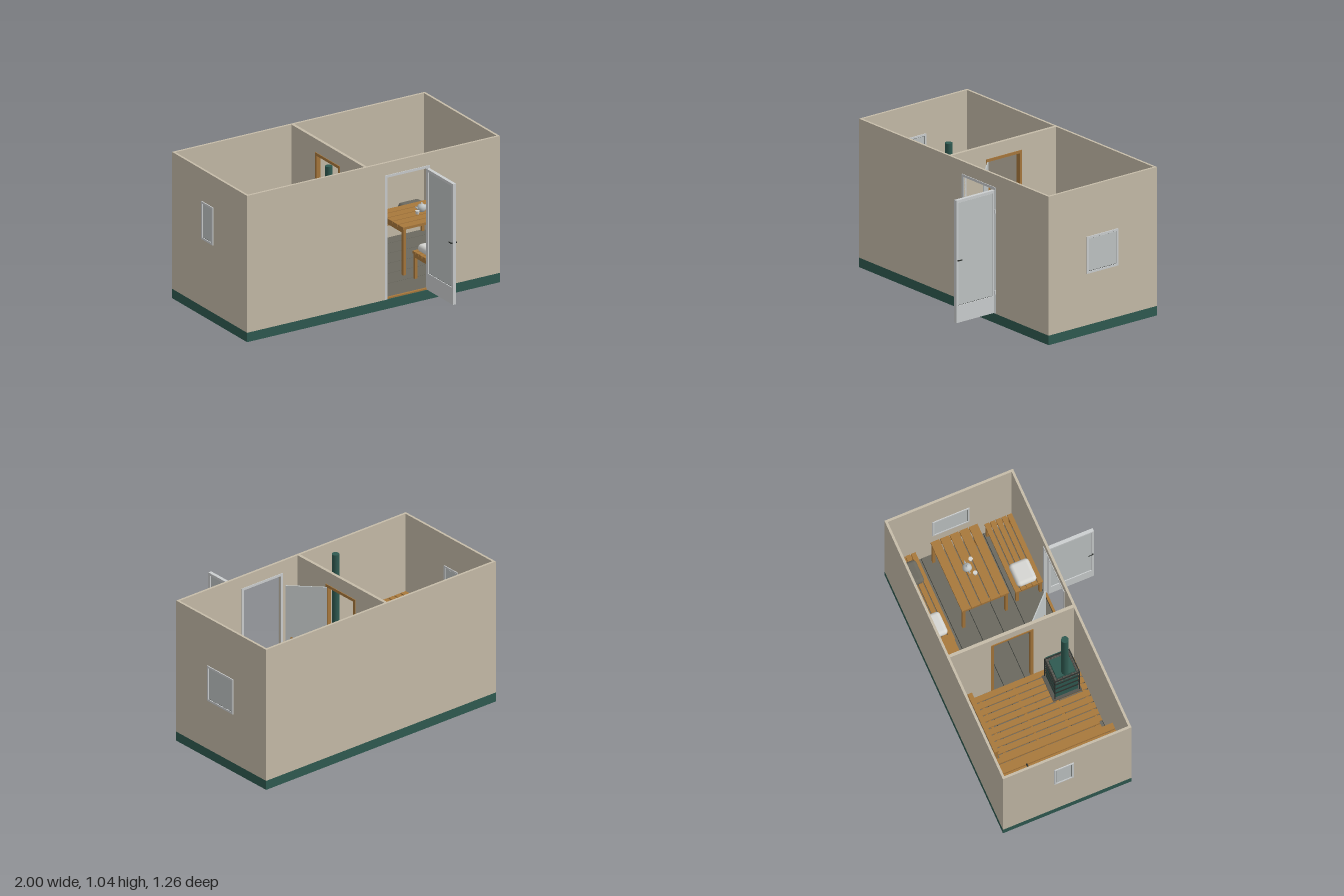
import * as THREE from 'three';
import { RoundedBoxGeometry } from 'three/addons/geometries/RoundedBoxGeometry.js';

const mat = (name, color) => Object.assign(new THREE.MeshStandardMaterial({ color }), { name });

export function createModel() {
  const root = new THREE.Group();
  root.name = 'saunaCabin';
  const M = {
    wall: mat('wallBeige', 0xc6bca9), green: mat('darkGreen', 0x2f5a51),
    wood: mat('wood', 0xa8783c), floor: mat('floorGrey', 0x6b695f),
    frame: mat('frameWhite', 0xcccfd0), glass: mat('paneGrey', 0xc0c5c5),
    dark: mat('darkMetal', 0x2b2f2c), soft: mat('cushionWhite', 0xd6d6d2),
    stone: mat('stoneGrey', 0x56554f)
  };

  // Helpers: named groups, boxes given by their limits, and shapes at a point
  const group = (name, parent = root) => {
    const g = new THREE.Group();
    g.name = name;
    parent.add(g);
    return g;
  };
  const add = (g, name, geo, m, x = 0, y = 0, z = 0) => {
    const mesh = new THREE.Mesh(geo, m);
    mesh.name = name;
    mesh.position.set(x, y, z);
    g.add(mesh);
    return mesh;
  };
  const box = (g, name, m, x0, x1, y0, y1, z0, z1) =>
    add(g, name, new THREE.BoxGeometry(x1 - x0, y1 - y0, z1 - z0), m,
      (x0 + x1) / 2, (y0 + y1) / 2, (z0 + z1) / 2);
  const cyl = (g, name, m, r0, r1, h, x, y, z, n = 20) =>
    add(g, name, new THREE.CylinderGeometry(r0, r1, h, n), m, x, y, z);

  // Slatted top: n planks side by side, running along 'x' or 'z'
  function slats(g, axis, n, x0, x1, y0, y1, z0, z1, gap = 0.008) {
    const w = ((axis === 'x' ? z1 - z0 : x1 - x0) + gap) / n;
    for (let i = 0; i < n; i++) {
      if (axis === 'x') box(g, 'slat', M.wood, x0, x1, y0, y1, z0 + i * w, z0 + (i + 1) * w - gap);
      else box(g, 'slat', M.wood, x0 + i * w, x0 + (i + 1) * w - gap, y0, y1, z0, z1);
    }
  }
  // Bench or table: slats on two cross rails with four legs
  function bench(name, axis, n, x0, x1, top, z0, z1, gap) {
    const g = group(name), t = 0.018, F = 0.075;
    slats(g, axis, n, x0, x1, top - t, top, z0, z1, gap);
    for (const x of [x0 + 0.005, x1 - 0.025]) {
      for (const z of [z0 + 0.005, z1 - 0.025])
        box(g, 'leg', M.wood, x, x + 0.02, F, top - t, z, z + 0.02);
      if (axis === 'x') box(g, 'rail', M.wood, x, x + 0.02, top - t - 0.025, top - t, z0 + 0.025, z1 - 0.025);
    }
    if (axis === 'z') for (const z of [z0 + 0.005, (z0 + z1) / 2, z1 - 0.025])
      box(g, 'rail', M.wood, x0 + 0.025, x1 - 0.025, top - t - 0.025, top - t, z, z + 0.02);
    return g;
  }

  const X = 0.993, ZB = -0.63, ZF = 0.298, H = 1.045, T = 0.017, B = 0.07;

  // Plinth and floor planks
  box(root, 'plinth', M.green, -X, X, 0, B - 0.003, ZB, ZF);
  const floor = group('floor');
  box(floor, 'seams', M.dark, -X + T, X - T, B - 0.003, B, ZB + T, ZF - T);
  const cuts = [ZB + T, -0.522, -0.372, -0.222, -0.072, 0.078, ZF - T];
  for (let i = 0; i < 6; i++)
    box(floor, 'plank', M.floor, -X + T, X - T, B - 0.002, B + 0.005, cuts[i], cuts[i + 1] - 0.004);

  // Outer walls with the entrance opening, and the partition with its doorway
  const W0 = B - 0.003, dx0 = 0.105, dx1 = 0.43, dTop = 0.94;
  const walls = group('walls');
  box(walls, 'backWall', M.wall, -X, X, W0, H, ZB, ZB + T);
  for (const s of [-1, 1])
    box(walls, 'sideWall', M.wall, Math.min(s * X, s * (X - T)), Math.max(s * X, s * (X - T)), W0, H, ZB + T, ZF - T);
  box(walls, 'frontWall', M.wall, -X, dx0, W0, H, ZF - T, ZF);
  box(walls, 'frontWall', M.wall, dx1, X, W0, H, ZF - T, ZF);
  box(walls, 'lintel', M.wall, dx0, dx1, dTop, H, ZF - T, ZF);
  const px0 = -0.065, px1 = -0.043, pz0 = -0.31, pz1 = -0.02;
  box(walls, 'partition', M.wall, px0, px1, W0, H, ZB + T, pz0);
  box(walls, 'partition', M.wall, px0, px1, W0, H, pz1, ZF - T);
  box(walls, 'partitionLintel', M.wall, px0, px1, dTop, H, pz0, pz1);

  // Windows: frame bars around a pane, showing on both sides of the wall
  function sideWindow(name, s, z0, z1, y0, y1) {
    const g = group(name), f = 0.014;
    const bar = (n, m, a, b, ya, yb, za, zb) =>
      box(g, n, m, Math.min(s * a, s * b), Math.max(s * a, s * b), ya, yb, za, zb);
    const a = X - T - 0.006, b = 1;
    bar('frameBottom', M.frame, a, b, y0, y0 + f, z0, z1);
    bar('frameTop', M.frame, a, b, y1 - f, y1, z0, z1);
    bar('frameSide', M.frame, a, b, y0 + f, y1 - f, z0, z0 + f);
    bar('frameSide', M.frame, a, b, y0 + f, y1 - f, z1 - f, z1);
    bar('gasket', M.dark, a + 0.004, b - 0.006, y0 + f, y1 - f, z0 + f, z1 - f);
    bar('pane', M.glass, a + 0.003, b - 0.004, y0 + f + 0.003, y1 - f - 0.003, z0 + f + 0.003, z1 - f - 0.003);
  }
  sideWindow('largeWindow', 1, -0.293, -0.026, 0.43, 0.69);
  sideWindow('smallWindow', -1, -0.26, -0.12, 0.55, 0.82);

  // Entrance frame
  const entry = group('entranceFrame');
  for (const x of [0.088, 0.425]) box(entry, 'jamb', M.frame, x, x + 0.017, B, 0.957, ZF - T - 0.004, ZF + 0.005);
  box(entry, 'head', M.frame, 0.105, 0.425, 0.94, 0.957, ZF - T - 0.004, ZF + 0.005);
  box(entry, 'sill', M.wood, 0.105, 0.425, B, 0.08, ZF - T, ZF);

  // Entrance door, standing open at a right angle
  const door = group('entranceDoor');
  const a = 0.412, b = 0.436, z0 = 0.304, z1 = 0.632;
  box(door, 'lowerPanel', M.frame, a, b, 0.076, 0.195, z0, z1);
  box(door, 'topRail', M.frame, a, b, 0.92, 0.938, z0, z1);
  for (const z of [z0, z1 - 0.018]) box(door, 'stile', M.frame, a, b, 0.195, 0.92, z, z + 0.018);
  box(door, 'gasket', M.dark, a + 0.007, b - 0.007, 0.195, 0.92, z0 + 0.018, z1 - 0.018);
  box(door, 'pane', M.glass, a + 0.005, b - 0.005, 0.198, 0.917, z0 + 0.021, z1 - 0.021);
  for (const x of [a - 0.01, b + 0.006]) box(door, 'handle', M.dark, x, x + 0.004, 0.511, 0.518, 0.59, 0.625);
  box(door, 'spindle', M.dark, a - 0.01, b + 0.01, 0.511, 0.518, 0.618, 0.625);
  for (const y of [0.22, 0.79]) cyl(door, 'hinge', M.frame, 0.005, 0.005, 0.03, b, y, z0, 10);

  // Inner door: wooden frame, glass leaf swung open, wooden handles
  const inner = group('innerDoor');
  for (const z of [pz0 - 0.008, pz1 - 0.012]) box(inner, 'jamb', M.wood, px0 - 0.005, px1 + 0.005, B, 0.95, z, z + 0.02);
  box(inner, 'head', M.wood, px0 - 0.005, px1 + 0.005, 0.93, 0.95, pz0 + 0.012, pz1 - 0.012);
  const leaf = group('leaf', inner);
  leaf.position.set(-0.04, 0, -0.025);
  leaf.rotation.y = -Math.PI / 4;
  box(leaf, 'glass', M.glass, 0, 0.275, 0.08, 0.93, -0.004, 0.004);
  for (const z of [-0.014, 0.006]) box(leaf, 'handle', M.wood, 0.228, 0.242, 0.485, 0.55, z, z + 0.008);

  // Sauna room: high bench, step, low bench and duckboards
  bench('highBench', 'z', 5, -0.975, -0.72, 0.47, -0.61, 0.278);
  bench('stepBench', 'z', 3, -0.715, -0.585, 0.27, -0.565, 0.23);
  bench('lowBench', 'x', 4, -0.54, -0.09, 0.27, -0.612, -0.465);
  const boards = group('duckboards');
  slats(boards, 'z', 5, -0.55, -0.315, 0.085, 0.095, -0.455, 0.278);
  slats(boards, 'z', 5, -0.305, -0.072, 0.085, 0.095, -0.455, 0.278);
  for (const z of [-0.42, -0.18, 0.05, 0.24]) box(boards, 'batten', M.wood, -0.55, -0.072, 0.075, 0.085, z, z + 0.02);

  // Bath whisk: a handle and a fan of leaves
  const whisk = group('bathWhisk');
  const stick = cyl(whisk, 'handle', M.dark, 0.005, 0.005, 0.1, -0.815, 0.482, -0.362, 8);
  stick.rotation.z = Math.PI / 2;
  for (let i = 0; i < 12; i++) {
    const r = 0.02 + 0.012 * (i % 3), t = i * 0.62;
    const l = add(whisk, 'leaf', new THREE.SphereGeometry(1, 8, 6), M.green,
      -0.85 + r * Math.cos(t), 0.482 + 0.004 * (i % 4), -0.365 + r * Math.sin(t));
    l.scale.set(0.02, 0.003, 0.007);
    l.rotation.y = -t;
  }

  // Stove: body, stone basket, water tank, fire tunnel and chimney
  const stove = group('stove');
  box(stove, 'body', M.green, -0.285, -0.125, 0.1, 0.38, 0.055, 0.215);
  box(stove, 'base', M.stone, -0.305, -0.11, 0.095, 0.105, 0.03, 0.238);
  for (const y of [0.2, 0.28, 0.36, 0.42]) {
    for (const x of [-0.295, -0.12]) box(stove, 'basketBar', M.dark, x, x + 0.006, y, y + 0.01, 0.045, 0.228);
    for (const z of [0.045, 0.222]) box(stove, 'basketBar', M.dark, -0.289, -0.12, y, y + 0.01, z, z + 0.006);
  }
  for (const x of [-0.295, -0.12]) for (const z of [0.045, 0.222])
    box(stove, 'basketPost', M.dark, x, x + 0.006, 0.1, 0.43, z, z + 0.006);
  const rock = new THREE.IcosahedronGeometry(0.014, 0);
  for (let i = 0; i < 32; i++) {
    const u = (i % 8) / 8 * 0.16 - 0.08, e = 0.08, k = Math.floor(i / 8);
    const [x, z] = [[u, -e], [e, u], [-u, e], [-e, -u]][k];
    const s = add(stove, 'stone', rock, M.stone, -0.204 + x, 0.402 + 0.006 * (i % 3), 0.137 + z);
    s.rotation.set(i, i * 2, i * 3);
  }
  box(stove, 'tank', M.green, -0.272, -0.138, 0.38, 0.43, 0.07, 0.204);
  box(stove, 'fireTunnel', M.green, -0.125, -0.03, 0.12, 0.3, 0.077, 0.19);
  box(stove, 'fireDoor', M.dark, -0.03, -0.022, 0.13, 0.29, 0.07, 0.197);
  box(stove, 'fireDoorHandle', M.dark, -0.022, -0.014, 0.2, 0.23, 0.08, 0.088);
  cyl(stove, 'chimney', M.green, 0.025, 0.025, 0.62, -0.25, 0.735, 0.137);

  // Firewood rack beside the fire door
  const rack = group('firewoodRack');
  box(rack, 'base', M.dark, -0.03, 0.055, 0.076, 0.09, 0.222, 0.275);
  for (const x of [-0.03, 0.049]) for (const z of [0.222, 0.269]) box(rack, 'post', M.dark, x, x + 0.006, 0.09, 0.2, z, z + 0.006);
  for (let i = 0; i < 9; i++) {
    const log = cyl(rack, 'log', M.wood, 0.011, 0.011, 0.05, -0.012 + (i % 3) * 0.024, 0.102 + Math.floor(i / 3) * 0.024, 0.248, 8);
    log.rotation.x = Math.PI / 2;
  }

  // Changing room: open shelf, two benches and a table
  const shelf = group('openShelf');
  for (const y of [0.083, 0.268, 0.482]) box(shelf, 'board', M.wood, -0.038, 0.272, y, y + 0.01, -0.59, -0.455);
  for (const x of [-0.038, 0.262]) for (const z of [-0.59, -0.465]) box(shelf, 'post', M.wood, x, x + 0.01, 0.075, 0.482, z, z + 0.01);
  bench('backBench', 'x', 5, 0.3, 0.968, 0.27, -0.61, -0.417);
  bench('frontBench', 'x', 5, 0.443, 0.968, 0.27, 0.08, 0.278);
  bench('table', 'x', 5, 0.41, 0.94, 0.42, -0.32, 0.018, 0.008);

  // Cushions
  const pillow = new RoundedBoxGeometry(0.17, 0.055, 0.142, 5, 0.027);
  for (const [x, z, m] of [[0.432, -0.515, M.soft], [0.828, -0.515, M.floor], [0.545, 0.175, M.soft]])
    add(root, 'cushion', pillow, m, x, 0.2975, z);

  // Teapot and cups
  const tea = group('teaSet');
  const pot = [[0, 0], [0.022, 0], [0.032, 0.018], [0.028, 0.038], [0.014, 0.048], [0.005, 0.052], [0.006, 0.06], [0, 0.063]];
  add(tea, 'teapot', new THREE.LatheGeometry(pot.map(p => new THREE.Vector2(...p)), 24), M.glass, 0.675, 0.42, -0.17);
  const spout = cyl(tea, 'spout', M.glass, 0.004, 0.007, 0.035, 0.64, 0.446, -0.17, 10);
  spout.rotation.z = 0.8;
  add(tea, 'handle', new THREE.TorusGeometry(0.016, 0.003, 8, 16), M.glass, 0.708, 0.443, -0.17);
  for (const [x, z] of [[0.62, -0.135], [0.722, -0.125]]) cyl(tea, 'cup', M.soft, 0.015, 0.011, 0.025, x, 0.4325, z, 16);

  return root;
}
